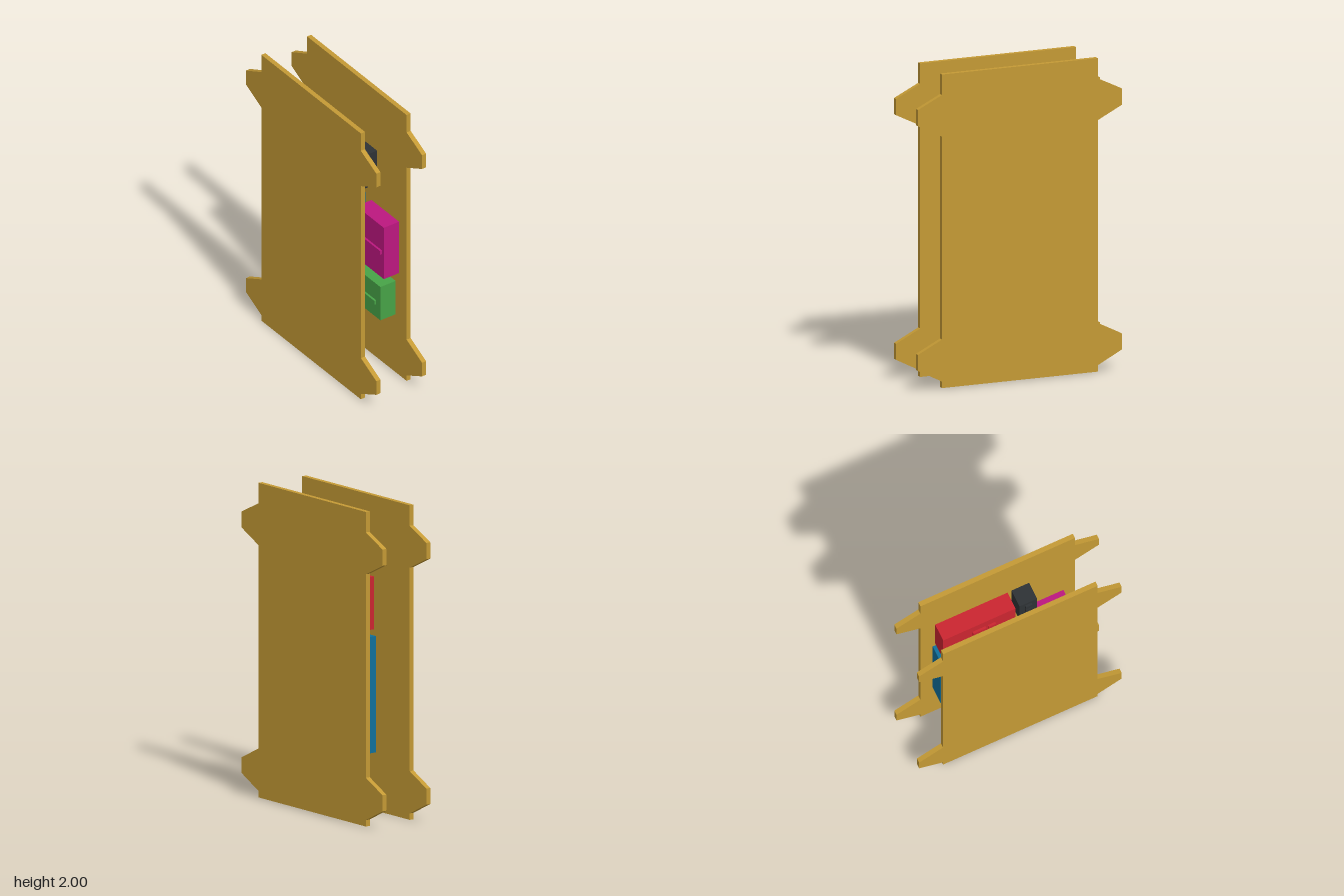
import * as THREE from 'three';

const mat = (color) => new THREE.MeshStandardMaterial({ color, flatShading: true });
const PLATE_T = 0.031, BACK_FACE = -0.156, BLOCK_FRONT = -0.04, RIB_FRONT = -0.026;

// Board outline: straight sides with two tapered tabs on each edge
function plateShape() {
  const side = [
    [0.529, 0], [0.529, 0.041], [0.693, 0.125], [0.693, 0.227], [0.529, 0.309],
    [0.529, 1.6], [0.693, 1.682], [0.693, 1.785], [0.529, 1.865], [0.529, 1.995],
  ];
  const mirrored = side.map(([x, y]) => [-x, y]).reverse();
  return new THREE.Shape([...side, ...mirrored].map(([x, y]) => new THREE.Vector2(x, y)));
}

function box(name, material, x0, x1, y0, y1, z0, z1) {
  const mesh = new THREE.Mesh(new THREE.BoxGeometry(x1 - x0, y1 - y0, z1 - z0), material);
  mesh.position.set((x0 + x1) / 2, (y0 + y1) / 2, (z0 + z1) / 2);
  mesh.name = name;
  return mesh;
}

export function createModel() {
  const model = new THREE.Group();
  model.name = 'boardStack';

  // Two identical plates, slightly offset from one another
  const plateMat = mat(0xc49a35);
  const plateGeo = new THREE.ExtrudeGeometry(plateShape(), { depth: PLATE_T, bevelEnabled: false });
  for (const [name, x, y, z] of [['frontPlate', -0.004, 0, 0.156], ['backPlate', 0.003, 0.005, -0.187]]) {
    const plate = new THREE.Mesh(plateGeo, plateMat);
    plate.name = name;
    plate.position.set(x, y, z);
    model.add(plate);
  }

  // Component blocks on the back plate: bounds [x0, x1, y0, y1],
  // rib columns [x0, x1, y0, y1, count]
  const blocks = [
    { name: 'redBlock', color: 0xcb2530, b: [-0.425, 0.07, 1.218, 1.553],
      ribs: [[-0.225, -0.135, 1.33, 1.475, 3], [-0.12, -0.07, 1.33, 1.475, 3]] },
    { name: 'blackBlock', color: 0x2e3235, b: [0.097, 0.218, 1.31, 1.558],
      ribs: [[0.135, 0.18, 1.325, 1.53, 4]] },
    { name: 'blueBlock', color: 0x10709c, b: [-0.442, 0.097, 0.44, 1.178],
      ribs: [[-0.38, -0.26, 0.605, 1.025, 7], [-0.08, 0.038, 0.605, 1.025, 7]] },
    { name: 'magentaBlock', color: 0xbc177f, b: [0.16, 0.452, 0.77, 1.155],
      ribs: [[0.18, 0.43, 0.945, 0.975, 1]] },
    { name: 'greenBlock', color: 0x47a347, b: [0.16, 0.415, 0.44, 0.69],
      ribs: [[0.21, 0.37, 0.537, 0.567, 1]] },
  ];
  for (const { name, color, b, ribs } of blocks) {
    const part = new THREE.Group();
    part.name = name;
    const m = mat(color);
    part.add(box(name + 'Body', m, ...b, BACK_FACE, BLOCK_FRONT));
    // Raised ribs on the front face
    for (const [x0, x1, y0, y1, count] of ribs) {
      const pitch = (y1 - y0 + 0.012) / count;
      for (let i = 0; i < count; i++) {
        const y = y0 + i * pitch;
        part.add(box('raisedRib', m, x0, x1, y, y + pitch - 0.012, BLOCK_FRONT, RIB_FRONT));
      }
    }
    model.add(part);
  }
  return model;
}
